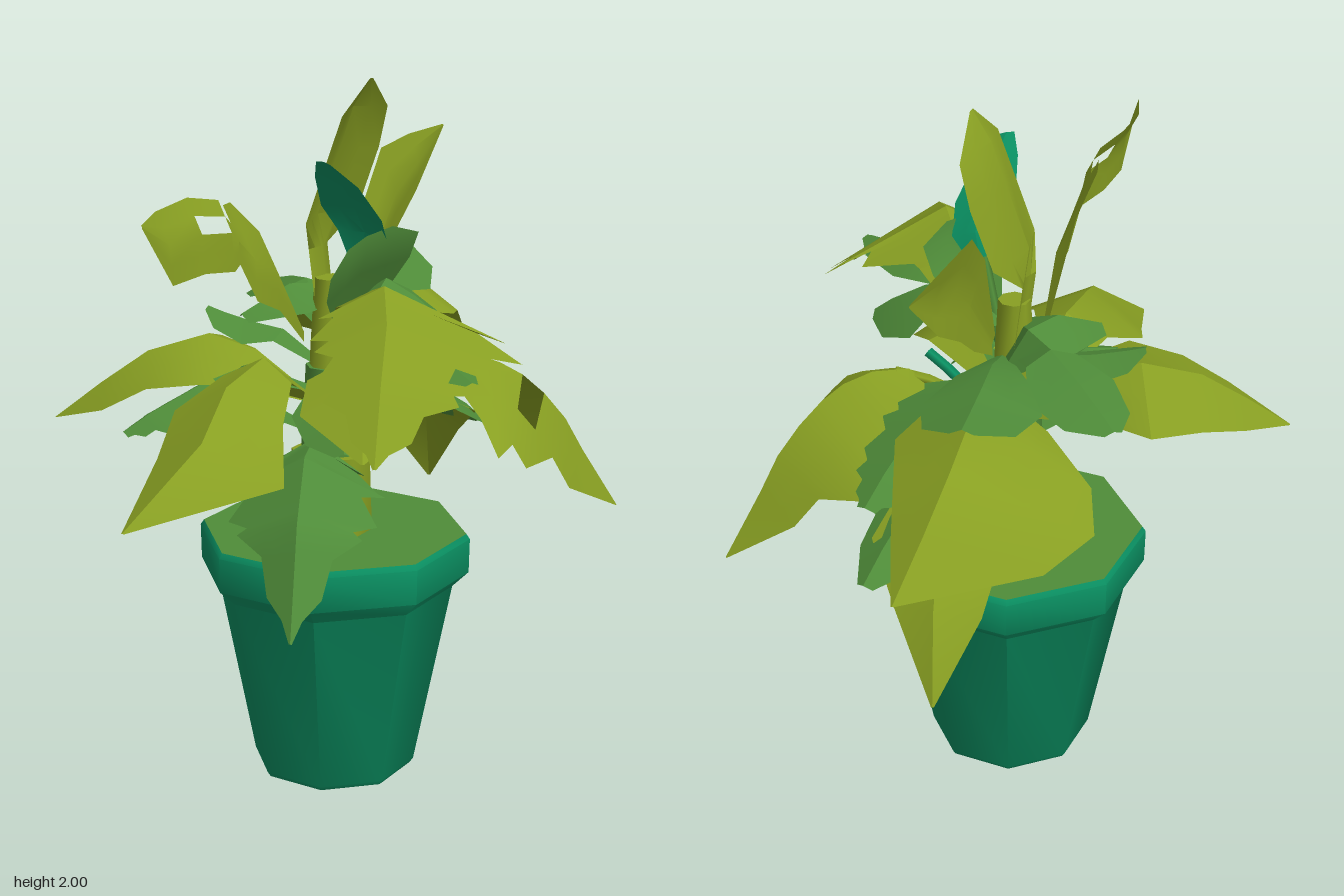
import * as THREE from 'three';
import { toCreasedNormals } from 'three/addons/utils/BufferGeometryUtils.js';

const paint = (name, color) => {
  const m = new THREE.MeshStandardMaterial({ color, side: THREE.DoubleSide });
  m.name = name;
  return m;
};

// Folded leaf blade. rows: [x, y, z, width on one side, width on the other]
// side: direction across the blade; holes: quads left out as 'row,column'
function leafGeometry(rows, { side, fold = 0.4, teeth = false, holes = [] }) {
  let list = rows.map(([x, y, z, a, b = a]) => ({ p: new THREE.Vector3(x, y, z), a, b }));
  if (teeth) {
    list = list.flatMap((r, i) => {
      const next = list[i + 1];
      if (!next || i === 0) return [r];
      const cut = (t, s) => ({
        p: r.p.clone().lerp(next.p, t),
        a: THREE.MathUtils.lerp(r.a, next.a, t) * s,
        b: THREE.MathUtils.lerp(r.b, next.b, t) * s,
      });
      return [r, cut(0.25, 0.75), cut(0.6, 1.08), cut(0.8, 0.8)];
    });
  }
  const whole = list[list.length - 1].p.clone().sub(list[0].p);
  const across = side ? new THREE.Vector3(...side) : new THREE.Vector3(whole.z, 0, -whole.x);
  across.normalize();
  const columns = [-1, -0.5, 0, 0.5, 1];
  const positions = [], index = [];
  list.forEach((r, i) => {
    const before = list[Math.max(i - 1, 0)].p, after = list[Math.min(i + 1, list.length - 1)].p;
    const normal = new THREE.Vector3().crossVectors(across, after.clone().sub(before)).normalize();
    if (normal.y < 0) normal.negate();
    for (const u of columns) {
      const w = Math.max(u < 0 ? r.a : r.b, 0.004);
      const v = r.p.clone().addScaledVector(across, u * w).addScaledVector(normal, -fold * Math.abs(u) * w);
      positions.push(v.x, v.y, v.z);
    }
    if (i === list.length - 1) return;
    for (let c = 0; c < 4; c++) {
      if (holes.includes(`${i},${c}`)) continue;
      const k = i * 5 + c;
      index.push(k, k + 5, k + 1, k + 1, k + 5, k + 6);
    }
  });
  const g = new THREE.BufferGeometry();
  g.setAttribute('position', new THREE.Float32BufferAttribute(positions, 3));
  g.setIndex(index);
  return toCreasedNormals(g, 0.5);
}

export function createModel() {
  const model = new THREE.Group();
  model.name = 'pottedPlant';
  const olive = paint('oliveGreen', 0x889f22);
  const green = paint('midGreen', 0x4f8c39);
  const teal = paint('tealGreen', 0x0a9062);

  const add = (name, geometry, material) => {
    const mesh = new THREE.Mesh(geometry, material);
    mesh.name = name;
    model.add(mesh);
    return mesh;
  };
  const leaf = (name, material, rows, options = {}) => add(name, leafGeometry(rows, options), material);
  const stalk = (name, material, points, radius) => {
    const curve = new THREE.CatmullRomCurve3(points.map((p) => new THREE.Vector3(...p)));
    add(name, new THREE.TubeGeometry(curve, 4, radius, 5), material);
  };

  // Eight-sided pot with a thick rim, filled to the top
  const profile = [[0, 0], [0.225, 0], [0.235, 0.015], [0.342, 0.56], [0.388, 0.605], [0.39, 0.705],
    [0.38, 0.72]].map(([x, y]) => new THREE.Vector2(x, y));
  add('pot', toCreasedNormals(new THREE.LatheGeometry(profile, 8), 0.83), teal);
  const soil = add('soil', new THREE.CircleGeometry(0.38, 8), green);
  soil.rotation.x = -Math.PI / 2;
  soil.position.y = 0.72;

  // Trunk in three steps
  const trunk = (name, material, top, bottom, y0, y1) => {
    const g = toCreasedNormals(new THREE.CylinderGeometry(top, bottom, y1 - y0, 8), 0.9);
    add(name, g, material).position.set(-0.01, (y0 + y1) / 2, 0);
  };
  trunk('trunkBase', olive, 0.112, 0.12, 0.7, 0.95);
  trunk('trunkMiddle', green, 0.07, 0.085, 0.94, 1.2);
  trunk('trunkTop', olive, 0.045, 0.06, 1.19, 1.45);

  // Broad olive leaves
  leaf('backLeaf', olive, [[0.01, 1.15, -0.05, 0.03], [0.05, 1.36, -0.3, 0.14, 0.18],
    [0.08, 1.38, -0.5, 0.22, 0.31], [0.13, 1.31, -0.68, 0.17, 0.35],
    [0.19, 1.2, -0.8, 0.1, 0.28], [0.26, 1.08, -0.93, 0]], { fold: 0.58 });
  leaf('lowBackLeaf', olive, [[0.03, 0.95, -0.05, 0.03], [0.1, 1.12, -0.28, 0.16, 0.1],
    [0.17, 1.02, -0.52, 0.2, 0.16], [0.18, 0.87, -0.66, 0.12], [0.18, 0.64, -0.76, 0]]);
  leaf('rightSideLeaf', olive, [[-0.05, 1.1, 0, 0.03], [-0.22, 1.23, -0.01, 0.2, 0.2],
    [-0.36, 1.27, -0.02, 0.28, 0.27], [-0.53, 1.22, 0.01, 0.22, 0.21],
    [-0.66, 1.13, 0.04, 0.13, 0.16], [-0.79, 1.03, 0.07, 0]], { fold: 0.28 });
  leaf('leftSideLeaf', olive, [[0.06, 1.05, 0, 0.03], [0.28, 1.24, -0.02, 0.1, 0.16],
    [0.38, 1.24, -0.04, 0.23, 0.32], [0.46, 1.21, -0.06, 0.34, 0.33], [0.52, 1.17, -0.09, 0.27, 0.25],
    [0.58, 1.11, -0.12, 0.31, 0.27], [0.64, 1.03, -0.15, 0.18, 0.17], [0.69, 0.93, -0.18, 0.18, 0.14],
    [0.79, 0.75, -0.24, 0]], { fold: 0.55, holes: ['4,1'] });
  leaf('frontLeaf', olive, [[0.05, 1.28, 0.03, 0.03], [0.14, 1.47, 0.22, 0.1, 0.12],
    [0.2, 1.53, 0.42, 0.17, 0.32], [0.23, 1.47, 0.58, 0.18, 0.34],
    [0.24, 1.36, 0.75, 0.14, 0.2], [0.25, 1.2, 0.92, 0]], { fold: 0.5, teeth: true });
  leaf('frontRightLeaf', olive, [[-0.05, 1.12, 0.05, 0.03], [-0.15, 1.28, 0.25, 0.12, 0.1],
    [-0.21, 1.25, 0.45, 0.19, 0.16], [-0.23, 1.16, 0.66, 0.18, 0.21], [-0.39, 0.98, 0.86, 0]], { fold: 0.55 });
  leaf('innerFrontLeaf', olive, [[0.03, 1.15, 0.05, 0.03], [0.1, 1.29, 0.2, 0.14],
    [0.14, 1.24, 0.4, 0.16, 0.17], [0.17, 1.1, 0.58, 0]], { fold: 0.5 });

  // Upright olive leaves
  leaf('topLeaf', olive, [[0, 1.2, -0.02, 0.05], [-0.04, 1.53, -0.03, 0.05, 0.06], [-0.05, 1.62, -0.03, 0.12, 0.16],
    [0.01, 1.8, -0.03, 0.12, 0.16], [0.05, 1.92, -0.02, 0.11, 0.14], [0.1, 2, 0, 0.01]],
  { side: [0.33, 0, -0.94], fold: 0.25 });
  leaf('upperBackLeaf', olive, [[0.05, 1.33, -0.04, 0.03], [0.1, 1.52, -0.18, 0.12, 0.13],
    [0.13, 1.63, -0.31, 0.13, 0.14], [0.17, 1.69, -0.48, 0.09, 0.09], [0.22, 1.77, -0.67, 0]],
  { side: [-0.1, 0.95, 0.25], fold: 0.2 });
  leaf('upperFrontLeaf', olive, [[-0.08, 1.3, 0.03, 0.03], [-0.12, 1.5, 0.19, 0.1, 0.12],
    [-0.16, 1.56, 0.3, 0.11, 0.16], [-0.19, 1.62, 0.36, 0.06, 0.1], [-0.2, 1.65, 0.4, 0.1, 0.09],
    [-0.26, 1.66, 0.48, 0.1, 0.1], [-0.31, 1.66, 0.62, 0.1, 0.09], [-0.35, 1.73, 0.74, 0]],
  { side: [-0.25, 0.95, -0.1], fold: 0.2, holes: ['3,3', '4,2'] });

  // Smaller green leaves: base, bend, shoulder and tip from a few numbers
  const small = (name, [x, y, z], rise, width, options) => leaf(name, green, [
    [0.02 * Math.sign(x), rise - 0.1, 0.02 * Math.sign(z), 0.02],
    [x * 0.4, rise, z * 0.4, width * 0.6],
    [x * 0.62, rise * 0.75 + y * 0.25, z * 0.62, width],
    [x * 0.87, rise * 0.3 + y * 0.7, z * 0.87, width * 0.75],
    [x, y, z, width * 0.2]], options);
  small('backGreenLeaf', [0.1, 1.42, -0.65], 1.39, 0.16);
  small('backRightGreenLeaf', [-0.28, 1.32, -0.48], 1.4, 0.13);
  small('backLeftGreenLeaf', [0.36, 1.12, -0.55], 1.32, 0.15, { teeth: true });
  small('lowBackGreenLeaf', [0.37, 0.89, -0.57], 1.12, 0.13, { fold: 0.5 });
  small('rightGreenLeaf', [-0.37, 1.34, -0.06], 1.29, 0.1);
  small('frontRightGreenLeaf', [-0.52, 1.08, 0.34], 1.23, 0.13, { teeth: true });
  small('frontLeftGreenLeaf', [0.39, 1.32, 0.18], 1.47, 0.17, { fold: 0.5 });
  small('outerFrontGreenLeaf', [0.45, 1.34, 0.62], 1.4, 0.09);
  small('innerFrontGreenLeaf', [0.1, 1.08, 0.44], 1.23, 0.13, { fold: 0.6 });
  small('lowRightGreenLeaf', [-0.36, 0.98, 0.24], 1.1, 0.12);
  leaf('lowFrontGreenLeaf', green, [[0, 0.92, 0.03, 0.02], [-0.02, 1.05, 0.22, 0.14, 0.15],
    [-0.02, 1.04, 0.36, 0.22, 0.21], [-0.01, 0.91, 0.53, 0.18, 0.16], [0, 0.64, 0.69, 0]],
  { teeth: true, fold: 0.65 });
  leaf('uprightGreenLeaf', green, [[0.03, 1.22, 0.02, 0.03], [0.06, 1.36, 0.07, 0.09],
    [0.1, 1.5, 0.16, 0.19], [0.12, 1.57, 0.19, 0.2], [0.12, 1.61, 0.2, 0.1]],
  { side: [0.46, 0.15, -0.88], fold: 0.15 });
  leaf('innerGreenLeaf', green, [[0.02, 1.28, -0.1, 0.03], [-0.05, 1.41, -0.1, 0.11],
    [-0.13, 1.42, -0.03, 0.12], [-0.25, 1.35, 0.06, 0.04]], { fold: 0.5 });

  // Young teal leaf and stalks
  leaf('youngLeaf', teal, [[0.08, 1.5, 0.07, 0.02], [0.1, 1.6, 0.1, 0.07], [0.08, 1.68, 0.16, 0.085],
    [0.05, 1.77, 0.23, 0.06], [0.02, 1.82, 0.28, 0.02]], { side: [0.97, -0.2, 0.1], fold: 0.25 });
  stalk('youngStalk', green, [[0.02, 1.25, 0.02], [0.05, 1.4, 0.05], [0.08, 1.54, 0.08]], 0.018);
  stalk('leftStalk', teal, [[0.04, 1.02, 0.03], [0.14, 1.13, 0.1], [0.24, 1.2, 0.15]], 0.016);
  stalk('sideStalk', olive, [[0.03, 1.0, 0], [0.16, 1.17, -0.01], [0.32, 1.23, -0.02]], 0.016);
  stalk('lowStalk', green, [[0, 0.9, 0.03], [-0.01, 0.99, 0.12], [-0.02, 1.02, 0.22]], 0.016);

  return model;
}
